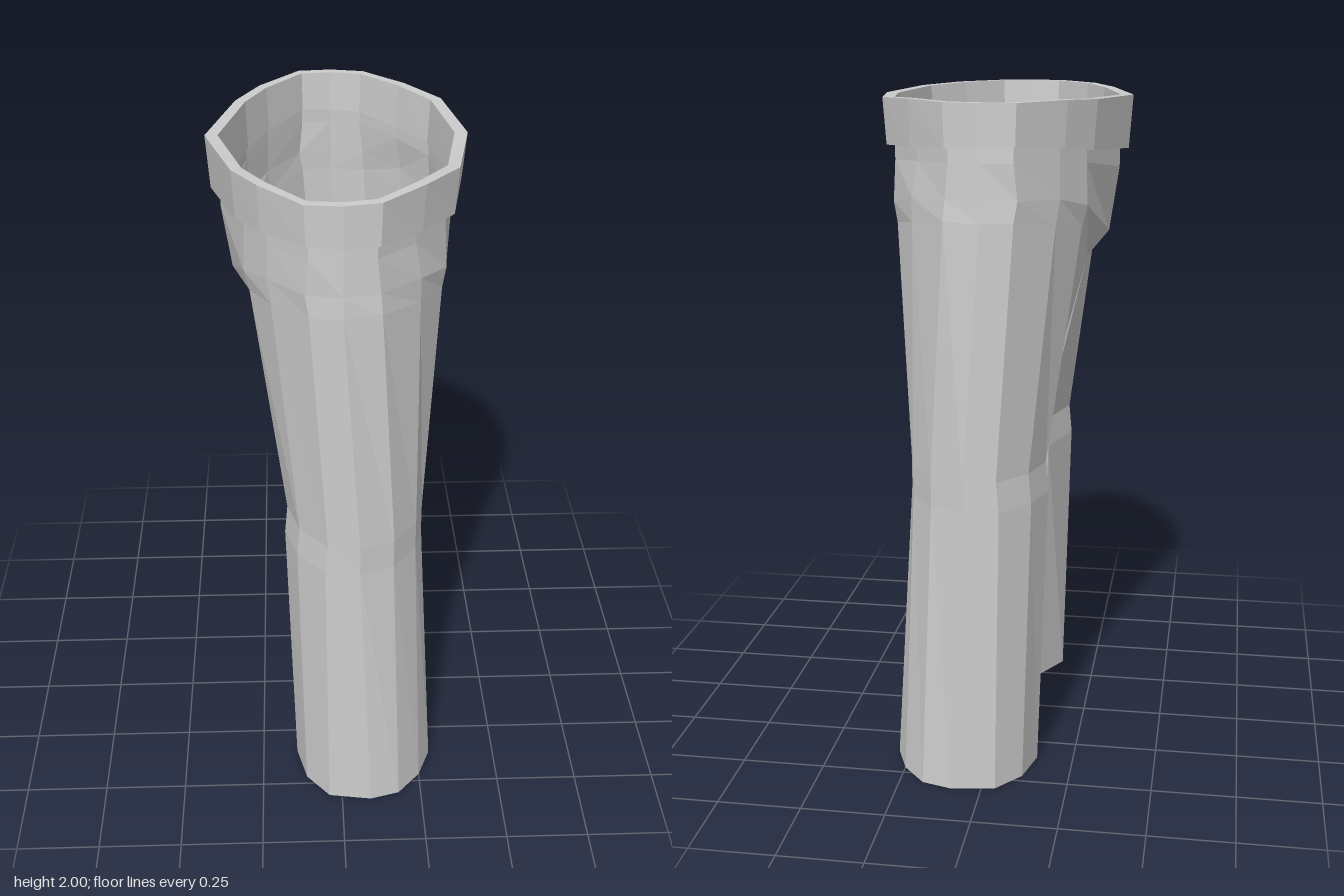
import * as THREE from 'three';

const material = new THREE.MeshStandardMaterial({ color: 0xcccccc, flatShading: true, side: THREE.DoubleSide });

// Skin a list of closed rings, ordered from top to bottom
function loft(name, rings) {
  const n = rings[0].length;
  const index = [];
  for (let r = 0; r < rings.length - 1; r++) {
    for (let i = 0; i < n; i++) {
      const j = (i + 1) % n;
      const d = r * n + i, c = r * n + j, a = d + n, b = c + n;
      index.push(a, d, c, a, c, b);
    }
  }
  const geometry = new THREE.BufferGeometry();
  geometry.setAttribute('position', new THREE.Float32BufferAttribute(rings.flat(2), 3));
  geometry.setIndex(index);
  geometry.computeVertexNormals();
  const mesh = new THREE.Mesh(geometry, material);
  mesh.name = name;
  return mesh;
}

const mirror = (p) => [p[0], p[1], -p[2]];
// Half outline (+x round to -x) completed to a full ring
const fullRing = (half) => [...half, ...half.slice(1, -1).reverse().map(mirror)];
const level = (y, points) => points.map(([x, z]) => [x, y, z]);

// Half outline of the waist, from +x to -x
const waist = [[0.37, 0], [0.32, 0.28], [0.22, 0.41], [0.1, 0.53], [0, 0.55],
  [-0.1, 0.54], [-0.22, 0.4], [-0.29, 0.28], [-0.37, 0]];
const waistHalf = (sx, sz, y) =>
  waist.map(([x, z], i) => [x * sx, Array.isArray(y) ? y[i] : y, z * sz]);

// Hip creases that dip to the crotch at both ends
const foldTop = [[0.325, 1.59, 0], [0.295, 1.7, 0.27], [0.215, 1.73, 0.4], [0.1, 1.74, 0.515], [0, 1.74, 0.537],
  [-0.1, 1.74, 0.52], [-0.2, 1.73, 0.39], [-0.265, 1.7, 0.27], [-0.305, 1.59, 0]];
const foldLow = [[0.27, 1.51, 0], [0.285, 1.64, 0.27], [0.215, 1.66, 0.4], [0.105, 1.68, 0.52], [0, 1.68, 0.54],
  [-0.09, 1.68, 0.525], [-0.19, 1.66, 0.4], [-0.25, 1.64, 0.27], [-0.24, 1.51, 0]];
const crotch = [[-0.1, 1.43, 0], [0.02, 1.4, 0], [0.15, 1.43, 0]];

// Leg outlines: outer arc first, then the inner side
const knee = [[0.215, 0.125], [0.245, 0.32], [0.22, 0.42], [0.15, 0.51], [0.05, 0.553], [-0.05, 0.535],
  [-0.13, 0.44], [-0.165, 0.32], [-0.11, 0.13], [-0.03, 0.107], [0.06, 0.102], [0.14, 0.107]];
const hem = [[0.25, 0.27], [0.29, 0.37], [0.25, 0.47], [0.18, 0.55], [0.09, 0.575], [-0.04, 0.555],
  [-0.11, 0.47], [-0.14, 0.35], [-0.07, 0.23], [0, 0.19], [0.06, 0.18], [0.15, 0.2]];
const inset = (points, cx, cz, s) => points.map(([x, z]) => [cx + (x - cx) * s, cz + (z - cz) * s]);

export function createModel() {
  const group = new THREE.Group();
  group.name = 'trousers';

  // Waistband with a hollow centre
  const topY = [1.99, 1.995, 2, 2, 2, 2, 2, 1.995, 1.99];
  const bottomY = [1.86, 1.862, 1.87, 1.88, 1.882, 1.887, 1.87, 1.855, 1.835];
  const outerTop = fullRing(waistHalf(1, 1, topY));
  group.add(loft('waistband', [
    outerTop,
    fullRing(waistHalf(0.97, 1, bottomY)),
    fullRing(waistHalf(0.88, 0.94, bottomY)),
    fullRing(waistHalf(0.9, 0.95, topY)),
    outerTop,
  ]));

  // Hips
  group.add(loft('hips', [
    fullRing(waistHalf(0.9, 0.965, 1.9)),
    fullRing(waistHalf(0.9, 0.97, [1.78, 1.82, 1.83, 1.84, 1.84, 1.84, 1.83, 1.82, 1.78])),
    fullRing(foldTop),
    fullRing(foldLow),
  ]));

  // Legs, with a turned-in hem
  const legRings = [
    [...foldLow, ...crotch],
    level(0.95, knee.map(([x, z], i) => [i > 4 && i < 9 ? x + 0.008 : x, i > 8 ? z - 0.012 : z])),
    level(0.86, knee),
    level(0, hem),
    level(0, inset(hem, 0.075, 0.377, 0.88)),
    level(0.4, inset(hem, 0.06, 0.36, 0.88).map(([x, z]) => [x - 0.02, z - 0.02])),
  ];
  group.add(loft('leftLeg', legRings));
  group.add(loft('rightLeg', legRings.map((ring) => ring.map(mirror).reverse())));

  return group;
}
